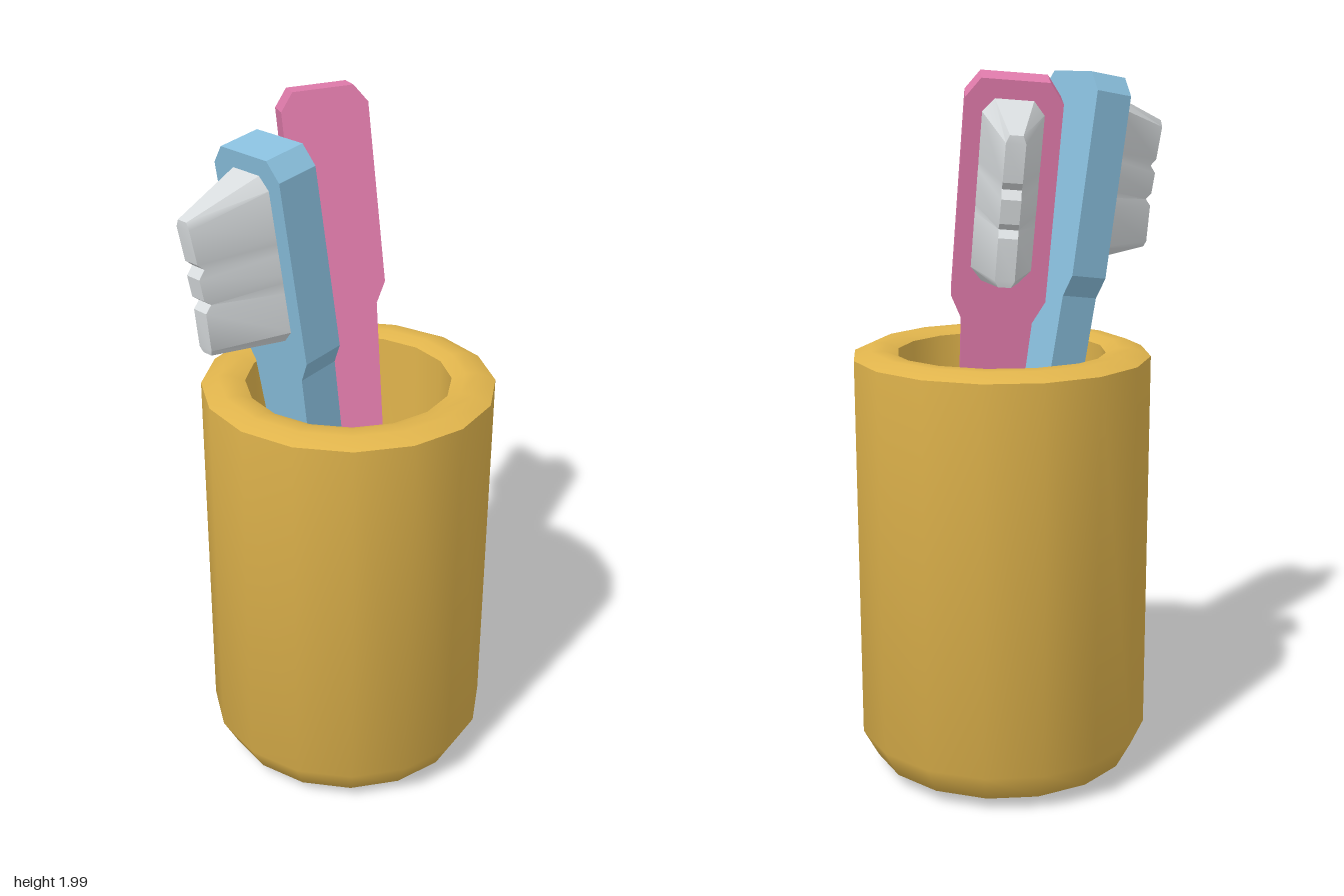
import * as THREE from 'three';
import { toCreasedNormals } from 'three/addons/utils/BufferGeometryUtils.js';

const material = (name, color) => {
  const m = new THREE.MeshStandardMaterial({ color });
  m.name = name;
  return m;
};

function part(name, geometry, mat) {
  const mesh = new THREE.Mesh(geometry, mat);
  mesh.name = name;
  return mesh;
}

// Thick sixteen-sided cup: outside from the base up, over the rim, down to the floor
function cupGeometry() {
  const profile = [
    [0, 0], [0.3, 0], [0.375, 0.04], [0.418, 0.12], [0.418, 1.215],
    [0.37, 1.237], [0.33, 1.237], [0.293, 1.222], [0.293, 0.25], [0, 0.25],
  ].map(([r, y]) => new THREE.Vector2(r, y));
  return toCreasedNormals(new THREE.LatheGeometry(profile, 16, Math.PI / 16), 0.8);
}

// Tapered handle widening into a chamfered head, y along its length, z to the bristles
function handleGeometry() {
  const half = [[0.04, 0], [0.092, 1.135], [0.122, 1.195], [0.122, 1.705], [0.085, 1.755]];
  const outline = [...half, ...half.map(([x, y]) => [-x, y]).reverse()];
  const shape = new THREE.Shape(outline.map(([x, y]) => new THREE.Vector2(x, y)));
  return new THREE.ExtrudeGeometry(shape, { depth: 0.12, bevelEnabled: false });
}

// Wedge of bristles lofted along the head, with two notches in the tip
function bristleGeometry() {
  // base y, base half width, tip y, tip half width, tip depth
  const sections = [
    [1.24, 0.05, 1.294, 0.016, 0.335],
    [1.275, 0.08, 1.31, 0.024, 0.337],
    [1.39, 0.08, 1.415, 0.024, 0.332],
    [1.42, 0.08, 1.432, 0.024, 0.312],
    [1.44, 0.08, 1.45, 0.024, 0.33],
    [1.5, 0.08, 1.51, 0.024, 0.333],
    [1.53, 0.08, 1.53, 0.024, 0.312],
    [1.55, 0.08, 1.55, 0.024, 0.33],
    [1.675, 0.08, 1.645, 0.024, 0.335],
    [1.71, 0.05, 1.664, 0.016, 0.333],
  ];
  const positions = [];
  const index = [];
  sections.forEach(([by, bw, ty, tw, d]) => {
    positions.push(-bw, by, 0.11, -tw, ty, d, tw, ty, d, bw, by, 0.11);
  });
  for (let s = 0; s < sections.length - 1; s++) {
    for (let k = 0; k < 4; k++) {
      const a = s * 4 + k, b = s * 4 + (k + 1) % 4;
      index.push(a, b, a + 4, b, b + 4, a + 4);
    }
  }
  const t = (sections.length - 1) * 4;
  index.push(0, 2, 1, 0, 3, 2, t, t + 1, t + 2, t, t + 2, t + 3);
  const g = new THREE.BufferGeometry();
  g.setAttribute('position', new THREE.Float32BufferAttribute(positions, 3));
  g.setIndex(index);
  return toCreasedNormals(g, 0.5);
}

// Brush standing at foot, leaning along axis, its width running along side
function brush(name, mat, bristleMat, foot, axis, side) {
  const group = new THREE.Group();
  group.name = name;
  group.add(part('handle', handleGeometry(), mat), part('bristles', bristleGeometry(), bristleMat));
  const up = new THREE.Vector3(...axis).normalize();
  const front = new THREE.Vector3(...side).cross(up).normalize();
  const across = new THREE.Vector3().crossVectors(up, front);
  group.quaternion.setFromRotationMatrix(new THREE.Matrix4().makeBasis(across, up, front));
  group.position.set(...foot);
  return group;
}

export function createModel() {
  const gold = material('gold', 0xe0b44c);
  const pink = material('pink', 0xe07bab);
  const blue = material('blue', 0x8ac0de);
  const white = material('pale grey', 0xd8dcde);

  const model = new THREE.Group();
  model.name = 'toothbrushHolder';
  const cup = part('cup', cupGeometry(), gold);
  cup.position.z = -0.075;
  model.add(
    cup,
    brush('blueBrush', blue, white, [0.036, 0.25, -0.078], [-0.047, 1, 0.15], [0.97, 0, 0.245]),
    brush('pinkBrush', pink, white, [0.09, 0.255, -0.136], [-0.164, 1, -0.064], [-0.74, 0, 0.68]),
  );
  return model;
}
